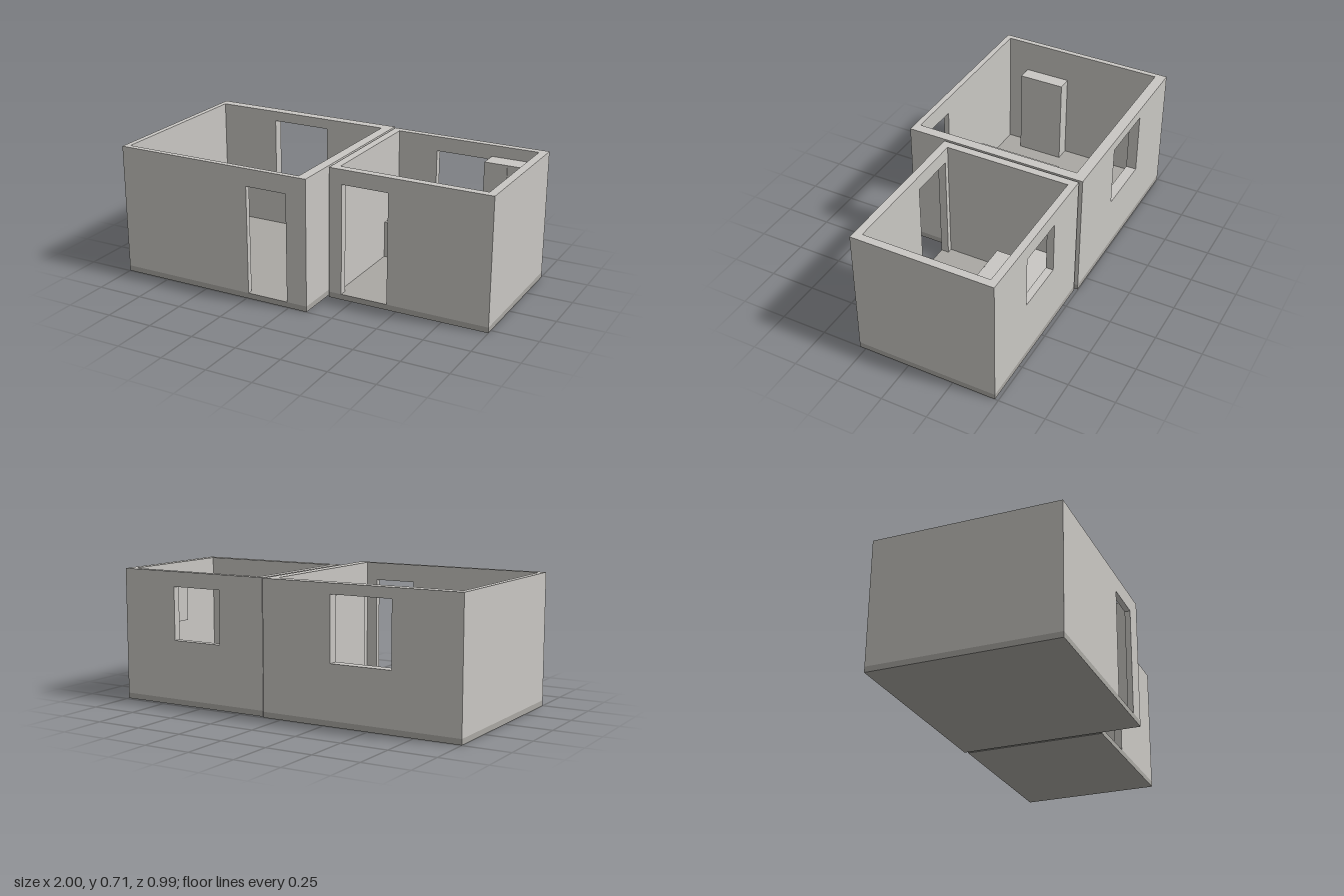
import * as THREE from 'three';

const wallMat = new THREE.MeshStandardMaterial({ color: 0xc9c7c3 });
wallMat.name = 'pale plaster';
const floorMat = new THREE.MeshStandardMaterial({ color: 0xaaa8a3 });
floorMat.name = 'warm grey floor';

const FLOOR = 0.03, TOP = 0.71;

// Box given by its minimum and maximum corners
function box(name, mat, [x0, y0, z0], [x1, y1, z1]) {
  const mesh = new THREE.Mesh(new THREE.BoxGeometry(x1 - x0, y1 - y0, z1 - z0), mat);
  mesh.position.set((x0 + x1) / 2, (y0 + y1) / 2, (z0 + z1) / 2);
  mesh.name = name;
  return mesh;
}

// Wall along x with one rectangular opening; a doorway reaches the floor
function wallWithOpening(name, x0, x1, z0, z1, o) {
  const s = new THREE.Shape();
  s.moveTo(x0, FLOOR);
  if (o.y0 <= FLOOR) {
    s.lineTo(o.x0, FLOOR);
    s.lineTo(o.x0, o.y1);
    s.lineTo(o.x1, o.y1);
    s.lineTo(o.x1, FLOOR);
  } else {
    const h = new THREE.Path();
    h.moveTo(o.x0, o.y0);
    h.lineTo(o.x0, o.y1);
    h.lineTo(o.x1, o.y1);
    h.lineTo(o.x1, o.y0);
    h.closePath();
    s.holes.push(h);
  }
  s.lineTo(x1, FLOOR);
  s.lineTo(x1, TOP);
  s.lineTo(x0, TOP);
  s.closePath();
  const geo = new THREE.ExtrudeGeometry(s, { depth: z1 - z0, bevelEnabled: false });
  const mesh = new THREE.Mesh(geo, wallMat);
  mesh.position.z = z0;
  mesh.name = name;
  return mesh;
}

// Open-topped room: floor slab, door wall in front, window wall behind, two plain sides
function room(name, out, inn, door, win) {
  const g = new THREE.Group();
  g.name = name;
  g.add(
    box('floorSlab', floorMat, [out.x0, 0, out.z0], [out.x1, FLOOR, out.z1]),
    wallWithOpening('frontWall', out.x0, out.x1, inn.z1, out.z1, door),
    wallWithOpening('backWall', out.x0, out.x1, out.z0, inn.z0, win),
    box('rightWall', wallMat, [out.x0, FLOOR, inn.z0], [inn.x0, TOP, inn.z1]),
    box('leftWall', wallMat, [inn.x1, FLOOR, inn.z0], [out.x1, TOP, inn.z1])
  );
  return g;
}

export function createModel() {
  const model = new THREE.Group();
  model.name = 'twoRooms';

  const large = room('largeRoom',
    { x0: -1, x1: 0.104, z0: -0.497, z1: 0.497 },
    { x0: -0.97, x1: 0.05, z0: -0.44, z1: 0.467 },
    { x0: -0.24, x1: -0.01, y0: FLOOR, y1: 0.615 },
    { x0: -0.628, x1: -0.29, y0: 0.315, y1: 0.655 });

  // Wardrobe on a recessed plinth
  const wardrobe = new THREE.Group();
  wardrobe.name = 'wardrobe';
  wardrobe.add(
    box('wardrobeBody', wallMat, [-0.098, 0.055, -0.273], [0.05, 0.597, 0.182]),
    box('wardrobePlinth', wallMat, [-0.09, FLOOR, -0.273], [0.05, 0.055, 0.182])
  );
  // Shallow cabinet against the opposite wall
  large.add(wardrobe, box('shallowCabinet', wallMat, [-0.97, FLOOR, 0.093], [-0.89, 0.53, 0.353]));

  const small = room('smallRoom',
    { x0: 0.117, x1: 1, z0: -0.482, z1: 0.283 },
    { x0: 0.16, x1: 0.957, z0: -0.442, z1: 0.24 },
    { x0: 0.188, x1: 0.447, y0: FLOOR, y1: 0.63 },
    { x0: 0.385, x1: 0.675, y0: 0.345, y1: 0.63 });
  small.add(box('baseCabinet', wallMat, [0.16, FLOOR, -0.442], [0.582, 0.232, -0.273]));

  // Wall-hung cabinet with two doors
  const hung = new THREE.Group();
  hung.name = 'wallCabinet';
  hung.add(box('cabinetBody', wallMat, [0.7, 0.435, -0.442], [0.957, 0.648, -0.343]));
  for (const x of [0.7, 0.83]) {
    hung.add(box('cabinetDoor', wallMat, [x, 0.435, -0.343], [x + 0.127, 0.648, -0.337]));
  }
  small.add(hung);

  model.add(large, small);
  return model;
}
